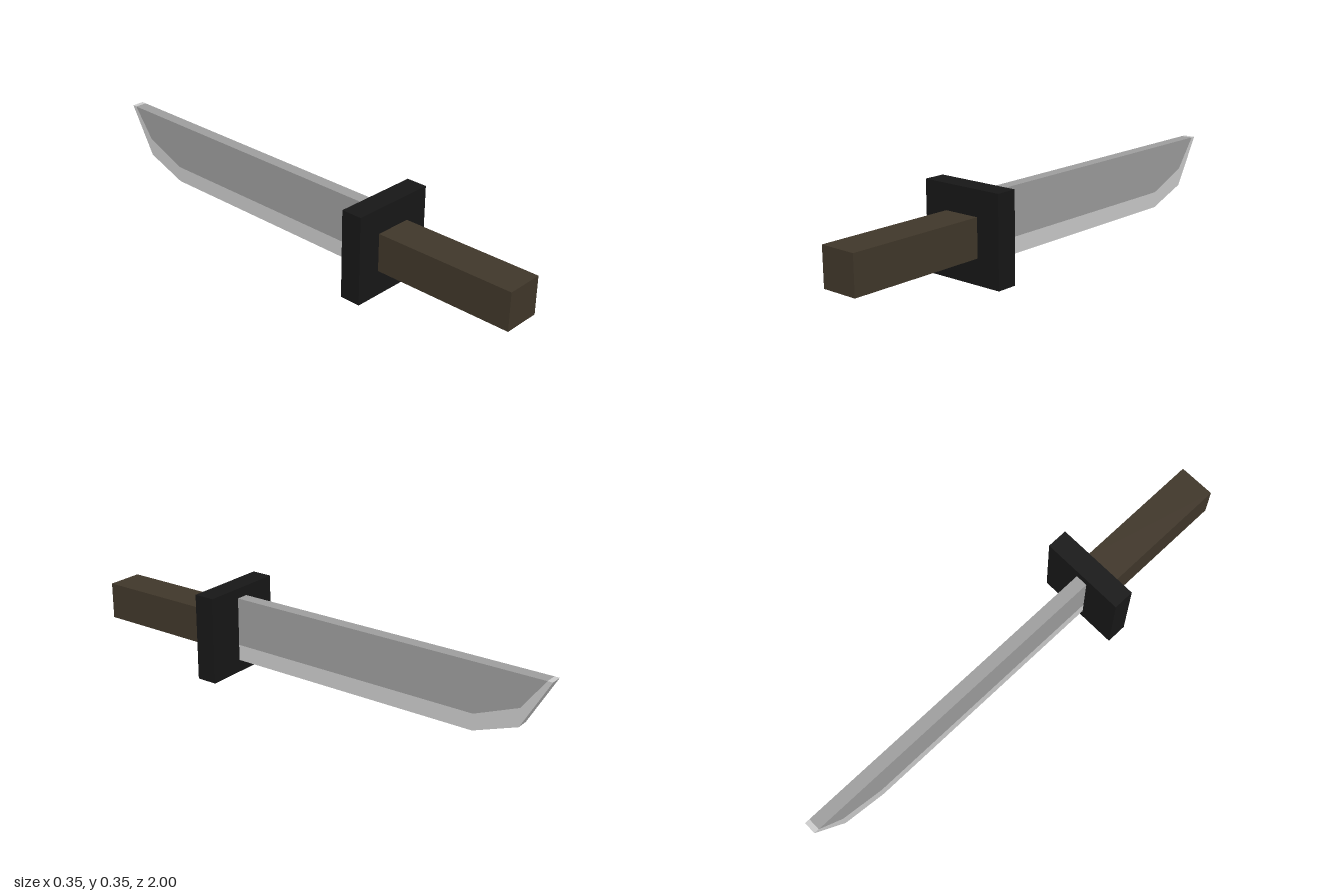
import * as THREE from 'three';

const material = (color) => new THREE.MeshStandardMaterial({ color, flatShading: true });

function addBox(group, name, size, position, mat) {
  const mesh = new THREE.Mesh(new THREE.BoxGeometry(...size), mat);
  mesh.name = name;
  mesh.position.set(...position);
  group.add(mesh);
}

// Extrudes a side profile of [distance toward the tip, height] across the blade thickness
function addPlate(group, name, points, thickness, mat) {
  const shape = new THREE.Shape(points.map(([u, y]) => new THREE.Vector2(u, y)));
  const geometry = new THREE.ExtrudeGeometry(shape, { depth: thickness, bevelEnabled: false });
  geometry.translate(0, 0, -thickness / 2).rotateY(Math.PI / 2);
  const mesh = new THREE.Mesh(geometry, mat);
  mesh.name = name;
  group.add(mesh);
}

export function createModel() {
  const model = new THREE.Group();
  model.name = 'knife';

  // Square grip and hand guard
  addBox(model, 'handle', [0.15, 0.15, 0.565], [0, 0.175, 0.7175], material(0x40372a));
  addBox(model, 'guard', [0.35, 0.35, 0.085], [0, 0.175, 0.3925], material(0x171717));

  // Blade: dark body and lighter cutting edge share one boundary line
  const boundary = [[-0.35, 0.115], [0.71, 0.115], [0.888, 0.187], [0.98, 0.31]];
  const outline = [[-0.35, 0.05], [0.71, 0.05], [0.888, 0.115], [1, 0.31]];
  const blade = new THREE.Group();
  blade.name = 'blade';
  addPlate(blade, 'bladeBody', [...boundary, [-0.35, 0.31]], 0.05, material(0x9d9d9d));
  addPlate(blade, 'cuttingEdge', [...outline, ...boundary.slice().reverse()], 0.05, material(0xcccccc));
  model.add(blade);

  return model;
}
